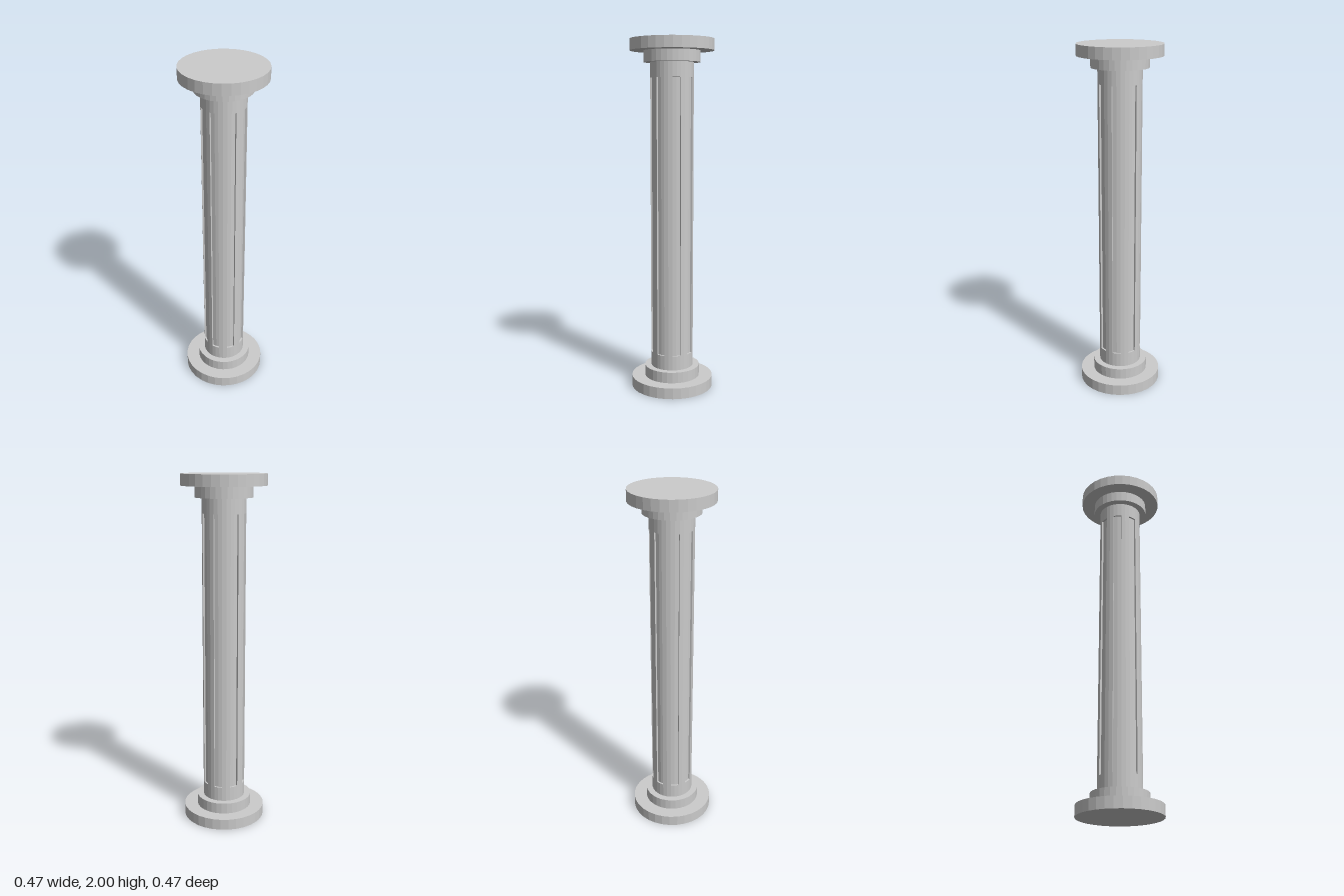
import * as THREE from 'three';

const SIDES = 32;
const SHAFT_R = 0.122;
const FLUTE_R = 0.112;
const FLUTE_BOTTOM = 0.21;
const FLUTE_TOP = 1.79;

export function createModel() {
  const column = new THREE.Group();
  column.name = 'column';
  const material = new THREE.MeshStandardMaterial({ color: 0xcccccc, flatShading: true });

  const add = (name, geometry) => {
    const mesh = new THREE.Mesh(geometry, material);
    mesh.name = name;
    column.add(mesh);
  };
  const disc = (name, radius, y0, y1) => {
    const geometry = new THREE.CylinderGeometry(radius, radius, y1 - y0, SIDES);
    add(name, geometry.translate(0, (y0 + y1) / 2, 0));
  };

  // Stepped base and capital, mirrored about mid height
  const steps = [
    ['Plate', 0.236, 0, 0.063],
    ['Step', 0.159, 0.063, 0.126],
    ['Collar', SHAFT_R, 0.126, FLUTE_BOTTOM],
  ];
  for (const [name, radius, y0, y1] of steps) {
    disc('base' + name, radius, y0, y1);
    disc('capital' + name, radius, 2 - y1, 2 - y0);
  }

  // Fluted shaft: eight shallow grooves, each two facets wide
  const points = [];
  const radii = [[SHAFT_R], [SHAFT_R, FLUTE_R], [FLUTE_R], [FLUTE_R, SHAFT_R]];
  for (let k = 0; k < SIDES; k++) {
    const a = (k / SIDES) * Math.PI * 2;
    for (const r of radii[k % 4]) {
      points.push(new THREE.Vector2(r * Math.cos(a), r * Math.sin(a)));
    }
  }
  const shaft = new THREE.ExtrudeGeometry(new THREE.Shape(points), {
    depth: FLUTE_TOP - FLUTE_BOTTOM,
    bevelEnabled: false,
  });
  add('flutedShaft', shaft.rotateX(-Math.PI / 2).translate(0, FLUTE_BOTTOM, 0));

  return column;
}
